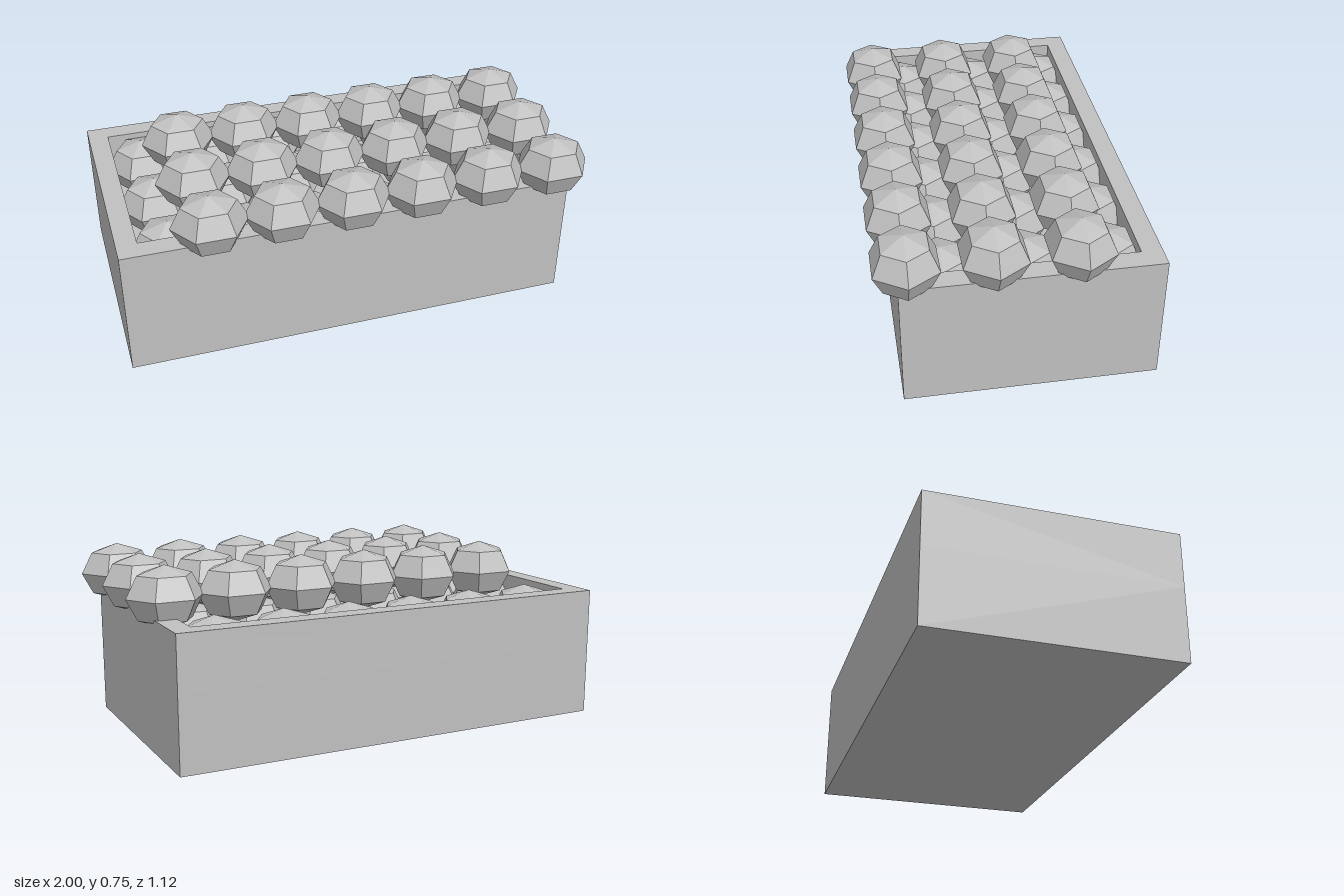
import * as THREE from 'three';

export function createModel() {
  const model = new THREE.Group();
  model.name = 'crateOfBalls';
  const grey = new THREE.MeshStandardMaterial({ color: 0xc0c0c0 });
  grey.name = 'grey';
  grey.flatShading = true;

  const add = (name, geometry, x, y, z, parent = model) => {
    const mesh = new THREE.Mesh(geometry, grey);
    mesh.name = name;
    mesh.position.set(x, y, z);
    parent.add(mesh);
    return mesh;
  };
  const rect = (path, x0, x1, y0, y1) => {
    path.moveTo(x0, y0);
    path.lineTo(x1, y0);
    path.lineTo(x1, y1);
    path.lineTo(x0, y1);
    path.closePath();
    return path;
  };

  // Crate: a rectangular wall ring (shape y becomes -z) over a solid base
  const height = 0.552, floor = 0.32;
  const outline = rect(new THREE.Shape(), -1, 0.91, -0.47, 0.56);
  outline.holes.push(rect(new THREE.Path(), -0.915, 0.823, -0.38, 0.475));
  const walls = new THREE.ExtrudeGeometry(outline, { depth: height - floor, bevelEnabled: false });
  walls.rotateX(-Math.PI / 2);
  add('crateWalls', walls, 0, floor, 0);
  add('crateBase', new THREE.BoxGeometry(1.91, floor, 1.03), -0.045, floor / 2, -0.045);

  // Faceted balls: six-sided, four bands, slightly squashed
  const ball = new THREE.SphereGeometry(1, 6, 4);
  ball.scale(0.16, 0.126, 0.1455);
  const layer = (name, x0, y, z0) => {
    const group = new THREE.Group();
    group.name = name;
    for (let row = 0; row < 3; row++) {
      for (let col = 0; col < 6; col++) {
        add('ball', ball, x0 + col * 0.294, y, z0 + row * 0.332, group);
      }
    }
    model.add(group);
  };
  layer('lowerBalls', -0.779, 0.442, -0.376);
  layer('upperBalls', -0.632, 0.627, -0.229);

  return model;
}
